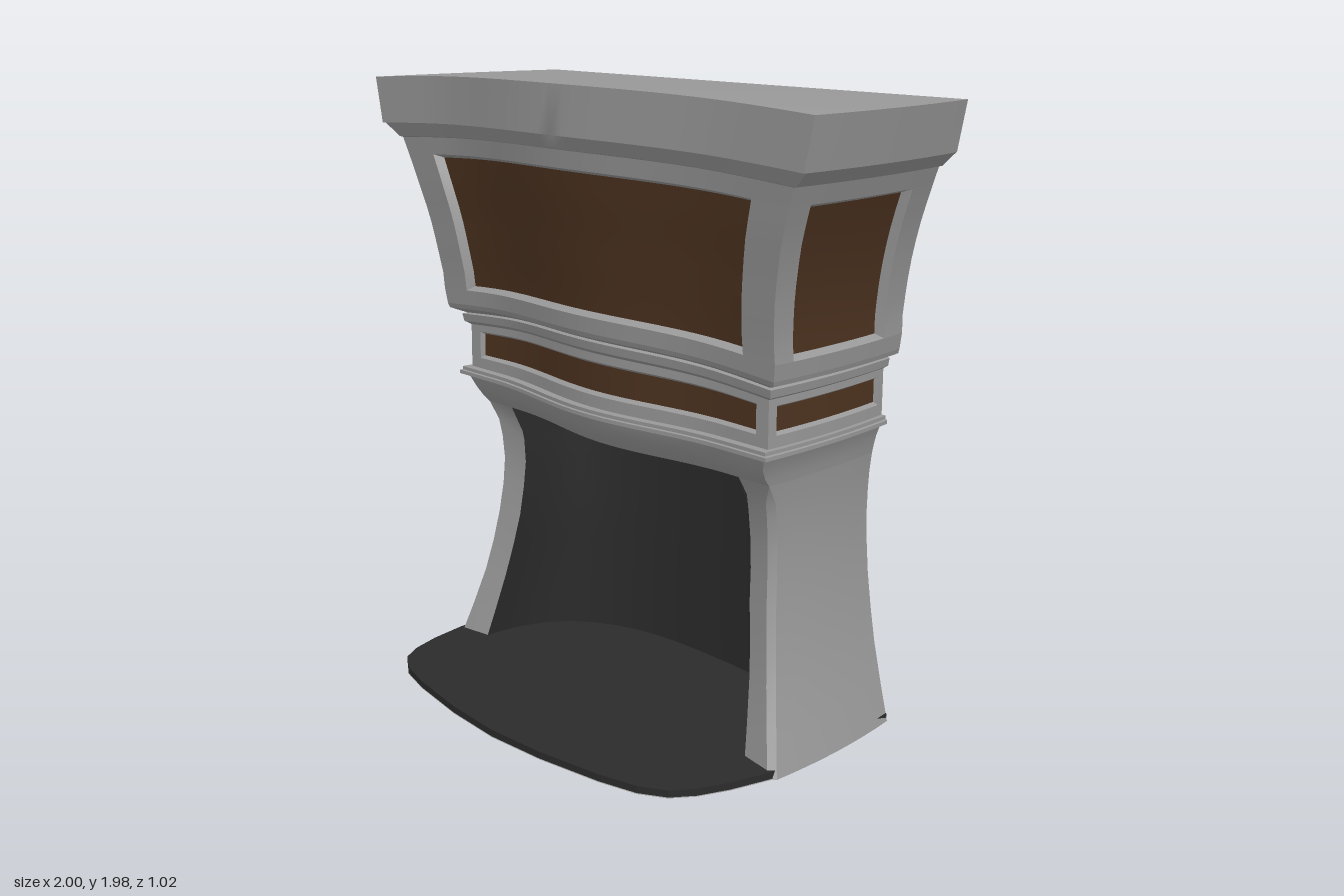
import * as THREE from 'three';
import { toCreasedNormals } from 'three/addons/utils/BufferGeometryUtils.js';

const BACK = -0.51;
const mat = (name, color) => new THREE.MeshStandardMaterial({ name, color, side: THREE.DoubleSide });

// Profiles: [height, half width, z of the front corner]
const LEG = [[0, .78, .07], [.12, .745, .04], [.25, .71, .01], [.36, .688, -.01], [.47, .67, -.025], [.57, .66, -.036],
  [.66, .655, -.04], [.74, .657, -.033], [.8, .661, -.022], [.86, .67, -.005]];
const LINTEL = [[.86, .67, -.005], [.885, .676, .018], [.915, .685, .037], [.945, .698, .05], [.96, .705, .055]];
const SHELF = [[.96, .705, .055], [.96, .73, .075], [.972, .73, .075], [.974, .722, .068], [.985, .722, .068], [.985, .705, .04]];
const BAND = [[.985, .705, .04], [1.13, .705, .04]];
const LEDGE = [[1.13, .705, .04], [1.14, .725, .055], [1.165, .73, .06], [1.17, .715, .05], [1.185, .765, .085], [1.2, .77, .09]];
const UPPER = [[1.2, .77, .09], [1.25, .778, .095], [1.3, .777, .1], [1.4, .79, .115], [1.5, .81, .128], [1.6, .84, .145],
  [1.68, .87, .155], [1.755, .9, .165]];
const CORNICE = [[1.755, .9, .165], [1.757, .912, .17], [1.8, .965, .19], [1.8, .967, .2], [1.95, 1, .2]];
// Half width of the fire opening by height
const OPENING = [[0, .645], [.25, .6], [.47, .56], [.7, .54], [.86, .545]];

const range = (a, b, n) => Array.from({ length: n + 1 }, (_, i) => a + (b - a) * i / n);
const clamp = THREE.MathUtils.clamp;

// Linear interpolation of a profile at height y
function at(table, y) {
  let i = 0;
  while (i < table.length - 2 && table[i + 1][0] < y) i++;
  const a = table[i], b = table[i + 1];
  const t = (y - a[0]) / (b[0] - a[0]);
  return a.map((v, k) => v + (b[k] - v) * t);
}

// Surface through equal-length rows of points
function grid(rows, flip = false) {
  const n = rows[0].length, index = [];
  for (let j = 0; j < rows.length - 1; j++) for (let i = 0; i < n - 1; i++) {
    const a = j * n + i, b = a + 1, c = a + n, d = c + 1;
    if (flip) index.push(a, d, b, a, c, d);
    else index.push(a, b, d, a, d, c);
  }
  const g = new THREE.BufferGeometry();
  g.setAttribute('position', new THREE.Float32BufferAttribute(rows.flat(2), 3));
  g.setIndex(index);
  return toCreasedNormals(g, 0.5);
}

// Serpentine bulge and slight arch of the front
const wave = u => 0.06 * (0.5 + 0.5 * Math.cos(Math.PI * Math.min(1, Math.abs(u) / 0.75)));
const lift = (u, y) => 0.032 * clamp((y - 1) / 0.15, 0, 1) * (1 - u * u);
const chamfer = y => 0.02 * clamp((0.86 - y) / 0.06, 0, 1);

// Faces of the body: u across, p a profile row, d depth below the surface
const front = (u, [y, w, f], d = 0) => [u * w, y + lift(u, y), f + wave(u) - d];
const side = s => (v, [y, w, f], d = 0) => {
  const z0 = f - chamfer(y);
  return [s * (w * (1 - 0.08 * v * v) - d), y, z0 + (BACK - z0) * v];
};
const FACES = [
  { name: 'front', fn: front, lo: -1, hi: 1, n: 32, flip: false },
  { name: 'left', fn: side(1), lo: 0, hi: 1, n: 8, flip: false },
  { name: 'right', fn: side(-1), lo: 0, hi: 1, n: 8, flip: true },
];

export function createModel() {
  const model = new THREE.Group();
  model.name = 'fireplace';
  const stone = mat('grey stone', 0x989898);
  const wood = mat('brown panel', 0x4d3320);
  const soot = mat('dark firebox', 0x2b2b2b);
  const add = (name, geometry, material) => {
    const m = new THREE.Mesh(geometry, material);
    m.name = name;
    model.add(m);
  };

  // Plain moulded bands
  const moulding = (name, table, faces = FACES) => faces.forEach(f => add(`${f.name} ${name}`,
    grid(table.map(p => range(f.lo, f.hi, f.n).map(u => f.fn(u, p))), f.flip), stone));
  moulding('leg', LEG, FACES.slice(1));
  moulding('lintel', LINTEL);
  moulding('shelf', SHELF);
  moulding('ledge', LEDGE);
  moulding('cornice', CORNICE);

  // Framed band with a bevelled, recessed panel
  function framed(name, table, f, u0, u1, y0, y1, depth, bevel) {
    const yLo = table[0][0], yHi = table[table.length - 1][0];
    const patch = (a, b, c, e, n, m, d = 0) =>
      grid(range(c, e, m).map(y => range(a, b, n).map(u => f.fn(u, at(table, y), d))), f.flip);
    add(`${name} frame bottom`, patch(f.lo, f.hi, yLo, y0, f.n, 2), stone);
    add(`${name} frame top`, patch(f.lo, f.hi, y1, yHi, f.n, 2), stone);
    add(`${name} frame start`, patch(f.lo, u0, y0, y1, 3, 8), stone);
    add(`${name} frame end`, patch(u1, f.hi, y0, y1, 3, 8), stone);
    const k = bevel / (f.name === 'front' ? 0.8 : 0.6);
    const rim = (e, g, d) => {
      const us = range(u0 + e, u1 - e, f.n), ys = range(y0 + g, y1 - g, 8);
      return [...us.map(u => [u, y0 + g]), ...ys.map(y => [u1 - e, y]),
        ...us.reverse().map(u => [u, y1 - g]), ...ys.reverse().map(y => [u0 + e, y])]
        .map(([u, y]) => f.fn(u, at(table, y), d));
    };
    add(`${name} reveal`, grid([rim(0, 0, 0), rim(k, bevel, depth)], f.flip), stone);
    add(`${name} panel`, patch(u0 + k, u1 - k, y0 + bevel, y1 - bevel, f.n, 8, depth), wood);
  }
  FACES.forEach(f => {
    const isFront = f.name === 'front';
    framed(`${f.name} upper`, UPPER, f, isFront ? -.84 : .125, isFront ? .84 : .83, 1.25, 1.7, .03, .012);
    framed(`${f.name} middle`, BAND, f, isFront ? -.93 : .06, isFront ? .93 : .955, 1.02, 1.108, .015, .008);
  });

  // Leg fronts: a narrow chamfer, then the broad face beside the opening
  const opening = y => at(OPENING, y)[1];
  for (const s of [1, -1]) {
    const rows = LEG.map(([y, w, f]) => {
      const c = chamfer(y);
      return [[s * opening(y), y, f - c], [s * (w - c), y, f], [s * w, y, f - c]];
    });
    add(s > 0 ? 'left leg front' : 'right leg front', grid(rows, s < 0), stone);
  }

  // Rounded firebox wall and its ceiling
  const arc = range(0, Math.PI, 32);
  const wallRow = (y, depth) => {
    const [, , f] = at(LEG, y), z0 = f - chamfer(y), a = opening(y);
    return arc.map(t => {
      const c = Math.cos(t);
      return [a * Math.sign(c) * Math.abs(c) ** 0.75, y, z0 + (depth - z0) * Math.max(0, Math.sin(t)) ** 0.75];
    });
  };
  const wall = [...LEG.filter(p => p[0] < 0.75).map(p => wallRow(p[0], -0.42)), wallRow(.77, -.42), wallRow(.86, -.28)];
  add('firebox wall', grid(wall, true), soot);
  const rear = wall[wall.length - 1];
  const lip = rear.map(([x]) => front(x / .67, LINTEL[0]));
  add('firebox ceiling', grid([rear, lip], true), soot);

  // Flat back
  const all = [...LEG, ...LINTEL, ...SHELF, ...BAND, ...LEDGE, ...UPPER, ...CORNICE];
  add('back', grid(all.map(([y, w]) => [[w * .92, y, BACK], [-w * .92, y, BACK]])), stone);

  // Mantel top, sloping from the arched front to the straight back
  const top = CORNICE[CORNICE.length - 1];
  add('mantel top', grid(range(0, 1, 8).map(v => range(-1, 1, 32).map(u => {
    const [x, y, z] = front(u, top);
    return [x * (1 - .08 * v * v), 1.95 + (y - 1.95) * (1 - v), z + (BACK - z) * v];
  }))), stone);

  // Hearth slab with a bowed front
  const half = [[.715, -.509], [.75, -.25], [.77, .06], [.74, .2], [.705, .3], [.66, .37], [.58, .42], [.45, .455], [.22, .492], [0, .507]];
  const outline = [...half, ...half.slice(0, -1).reverse().map(([x, z]) => [-x, z])];
  const shape = new THREE.Shape(outline.map(([x, z]) => new THREE.Vector2(x, -z)));
  const slab = new THREE.ExtrudeGeometry(shape, { depth: .022, bevelEnabled: false });
  slab.rotateX(-Math.PI / 2).translate(0, .003, 0);
  add('hearth', slab, soot);
  const base = new THREE.ShapeGeometry(shape);
  base.rotateX(-Math.PI / 2).scale(1, 1, 1);
  base.setIndex(Array.from(base.index.array).reverse());
  base.computeVertexNormals();
  add('hearth underside', base, stone);

  return model;
}
